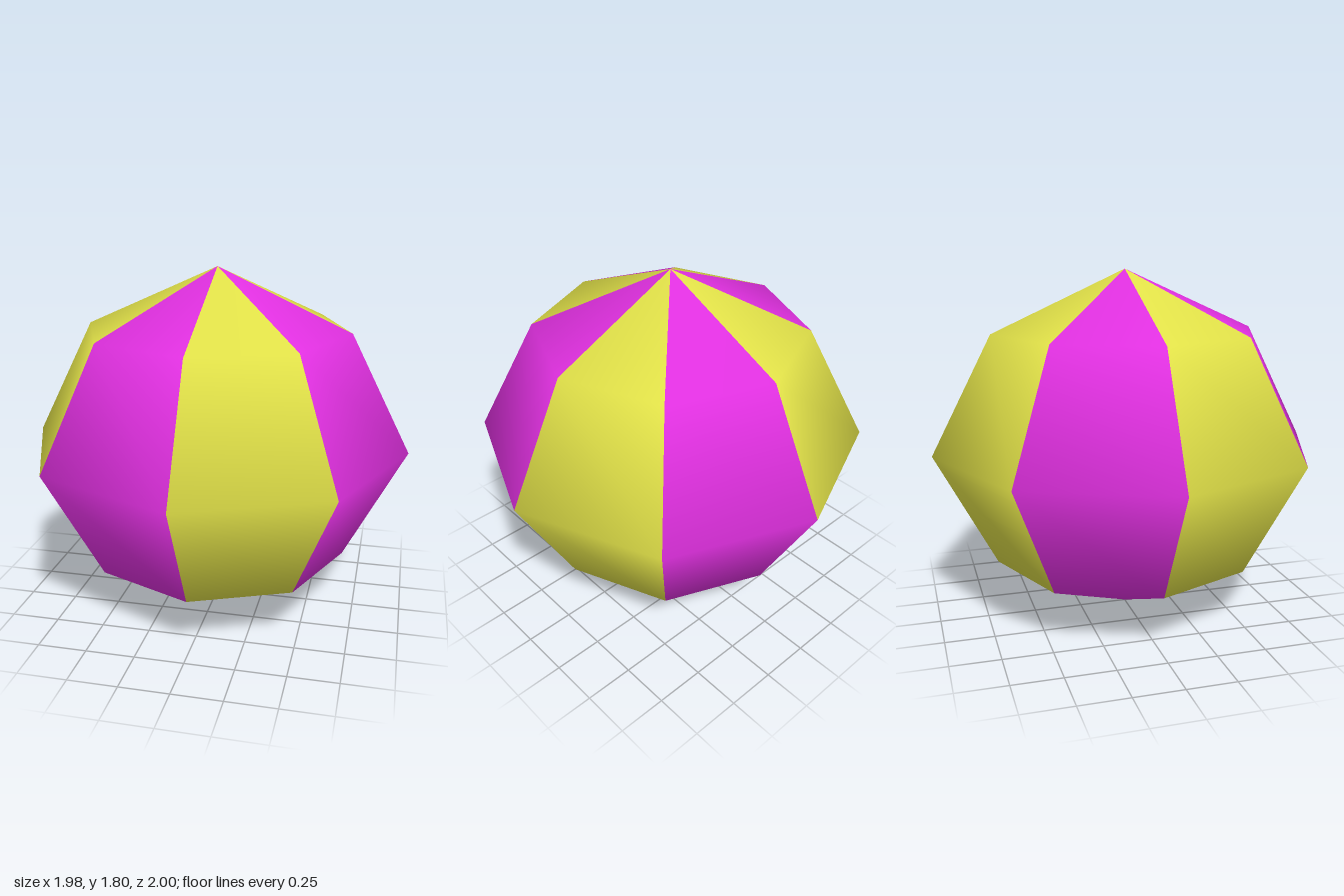
import * as THREE from 'three';

export function createModel() {
  const ball = new THREE.Group();
  ball.name = 'beachBall';

  const yellow = new THREE.MeshStandardMaterial({ color: 0xe0e048 });
  yellow.name = 'yellow';
  const magenta = new THREE.MeshStandardMaterial({ color: 0xe030e0 });
  magenta.name = 'magenta';

  // Profile from the bottom pole to the top pole
  const profile = [
    [0, 0], [0.685, 0.3], [0.995, 0.89], [0.685, 1.49], [0, 1.8],
  ].map(([r, y]) => new THREE.Vector2(r, y));

  // Eight gores in alternating colours, smooth across the seams
  const count = 8;
  const step = (Math.PI * 2) / count;
  for (let i = 0; i < count; i++) {
    const gore = new THREE.LatheGeometry(profile, 1, i * step, step);
    gore.scale(0.99 / 0.995, 1, 1 / 0.995);
    const panel = new THREE.Mesh(gore, i % 2 ? magenta : yellow);
    panel.name = `panel${i + 1}`;
    ball.add(panel);
  }
  return ball;
}
